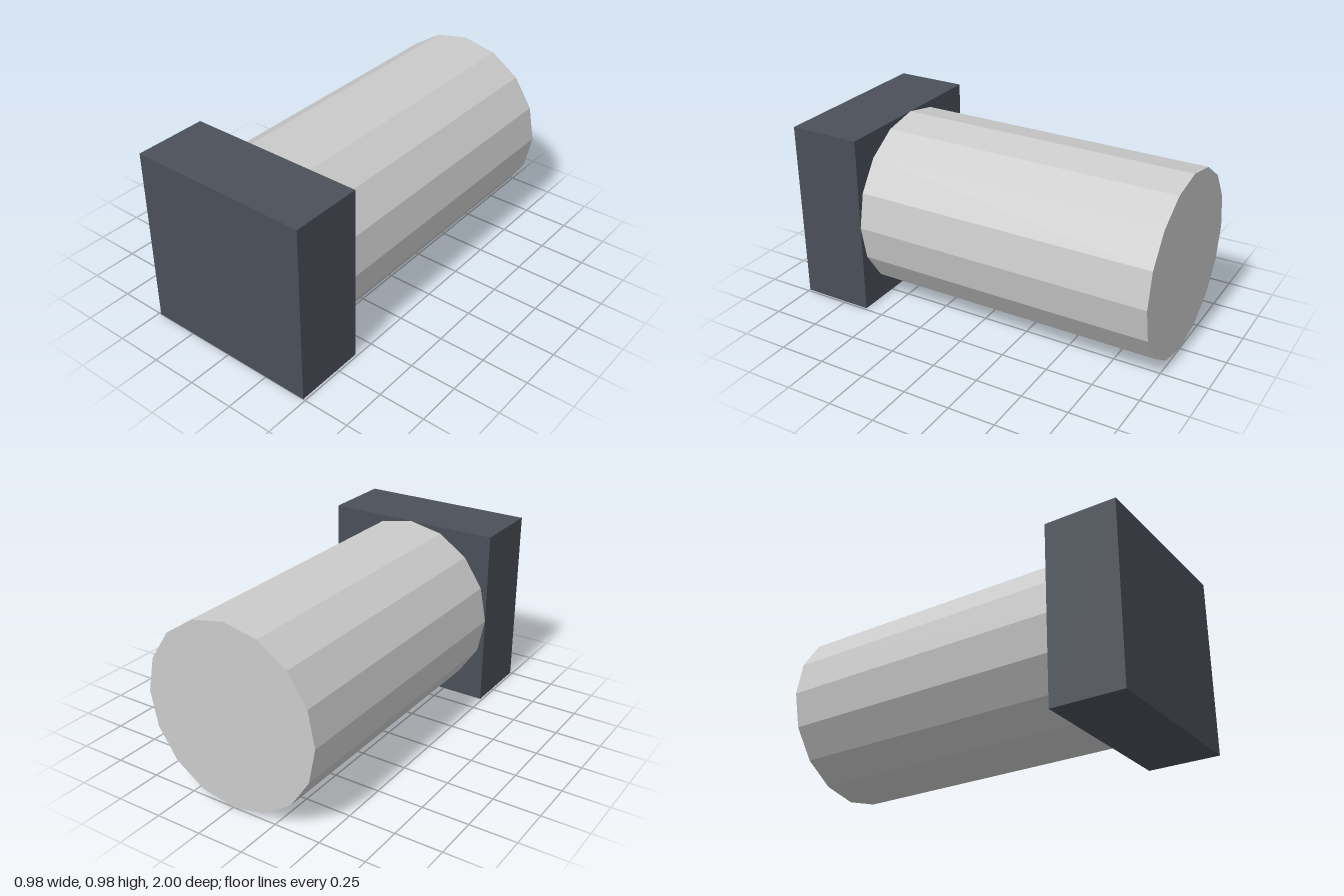
import * as THREE from 'three';

export function createModel() {
  const model = new THREE.Group();
  const half = 0.4875, joint = 0.61;

  // Square block at the front
  const block = new THREE.Mesh(
    new THREE.BoxGeometry(half * 2, half * 2, 1 - joint),
    new THREE.MeshStandardMaterial({ color: 0x4a5059 })
  );
  block.name = 'headBlock';
  block.position.set(0, half, (1 + joint) / 2);
  model.add(block);

  // Sixteen-sided shaft running to the back, with corners on the axes
  const length = joint + 1;
  const shaft = new THREE.Mesh(
    new THREE.CylinderGeometry(half, half, length, 16).rotateX(Math.PI / 2),
    new THREE.MeshStandardMaterial({ color: 0xcccccc, flatShading: true })
  );
  shaft.name = 'shaft';
  shaft.position.set(0, half, joint - length / 2);
  model.add(shaft);

  return model;
}
